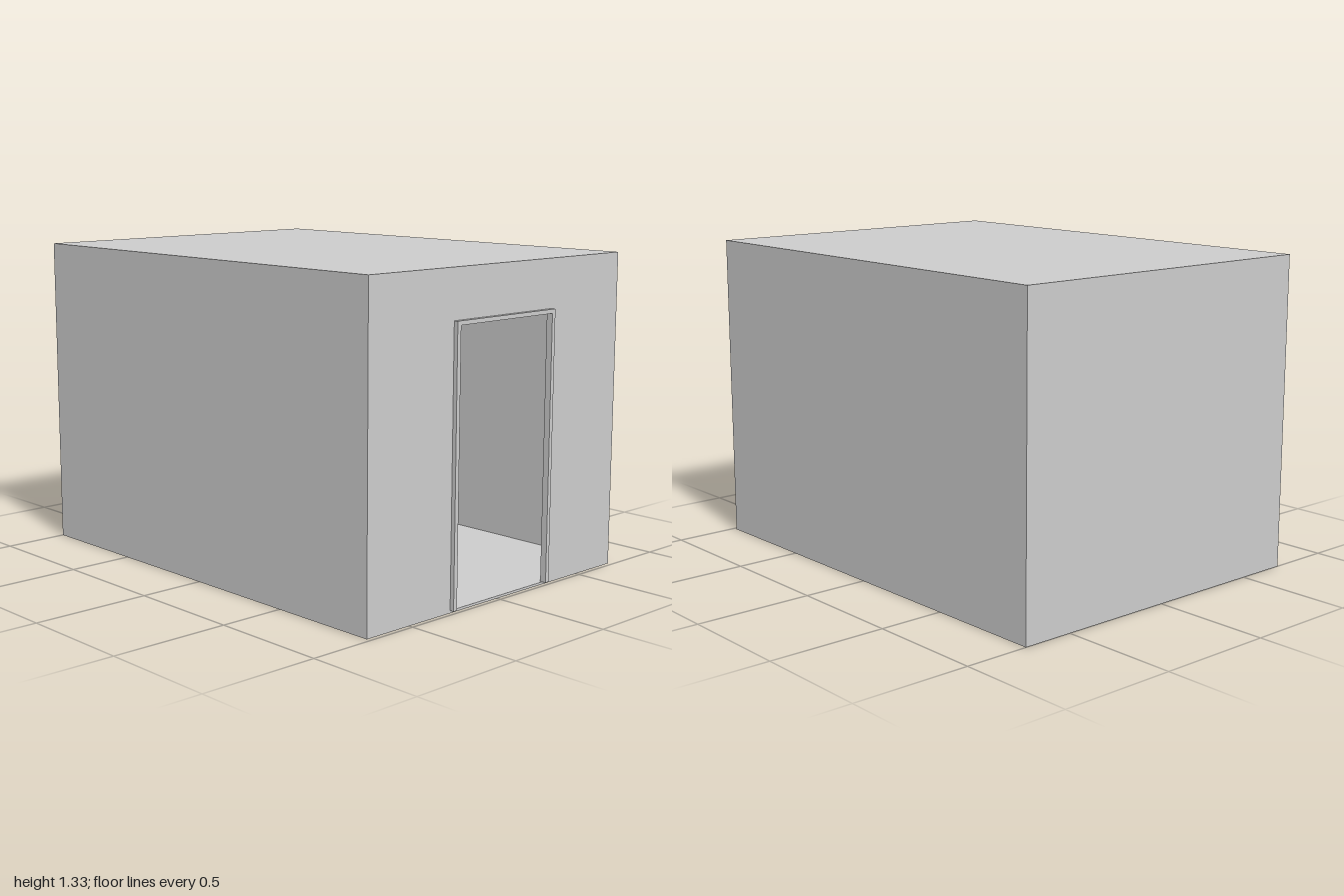
import * as THREE from 'three';

const material = new THREE.MeshStandardMaterial({ color: 0xcccccc, flatShading: true });

// Box given by its lower and upper corners
function box(name, [x0, y0, z0], [x1, y1, z1]) {
  const mesh = new THREE.Mesh(new THREE.BoxGeometry(x1 - x0, y1 - y0, z1 - z0), material);
  mesh.position.set((x0 + x1) / 2, (y0 + y1) / 2, (z0 + z1) / 2);
  mesh.name = name;
  return mesh;
}

// Upright panel with a doorway cut up from its lower edge
function archway(name, [x0, x1, y0, y1], [dx0, dx1, dTop], z, depth) {
  const outline = [[x0, y0], [dx0, y0], [dx0, dTop], [dx1, dTop], [dx1, y0], [x1, y0], [x1, y1], [x0, y1]];
  const shape = new THREE.Shape(outline.map(([x, y]) => new THREE.Vector2(x, y)));
  const mesh = new THREE.Mesh(new THREE.ExtrudeGeometry(shape, { depth, bevelEnabled: false }), material);
  mesh.position.z = z;
  mesh.name = name;
  return mesh;
}

export function createModel() {
  const room = new THREE.Group();
  room.name = 'storeRoom';
  const W = 0.722, H = 1.33, back = -1, front = 0.982, t = 0.01;
  const door = [-0.255, 0.28, 1.113];

  // Shell: floor, roof and closed walls
  room.add(
    box('floor', [-W, 0, back], [W, t, front]),
    box('roof', [-W, H - t, back], [W, H, front]),
    box('backWall', [-W, t, back], [W, H - t, back + t]),
    box('leftWall', [W - t, t, back + t], [W, H - t, front - t]),
    box('rightWall', [-W, t, back + t], [-W + t, H - t, front - t]),
  );

  // Front wall with doorway, and the frame standing proud of it
  room.add(archway('frontWall', [-W, W, t, H - t], door, front - t, t));
  room.add(archway('doorFrame', [-0.274, 0.298, t, 1.13], door, front, 1 - front));

  // L-shaped plinth and two shelves along the right and back walls
  const inner = W - t, edge = -0.24, shelfFront = 0.72, backEdge = back + t + 0.47;
  for (const [name, y0, y1] of [['plinth', t, 0.12], ['middleShelf', 0.508, 0.563], ['topShelf', 0.935, 0.99]]) {
    const shape = new THREE.Shape([
      [-inner, -shelfFront], [edge, -shelfFront], [edge, -backEdge],
      [inner, -backEdge], [inner, -back - t], [-inner, -back - t],
    ].map(([x, y]) => new THREE.Vector2(x, y)));
    const geometry = new THREE.ExtrudeGeometry(shape, { depth: y1 - y0, bevelEnabled: false });
    geometry.rotateX(-Math.PI / 2);
    const shelf = new THREE.Mesh(geometry, material);
    shelf.position.y = y0;
    shelf.name = name;
    room.add(shelf);
  }
  return room;
}
